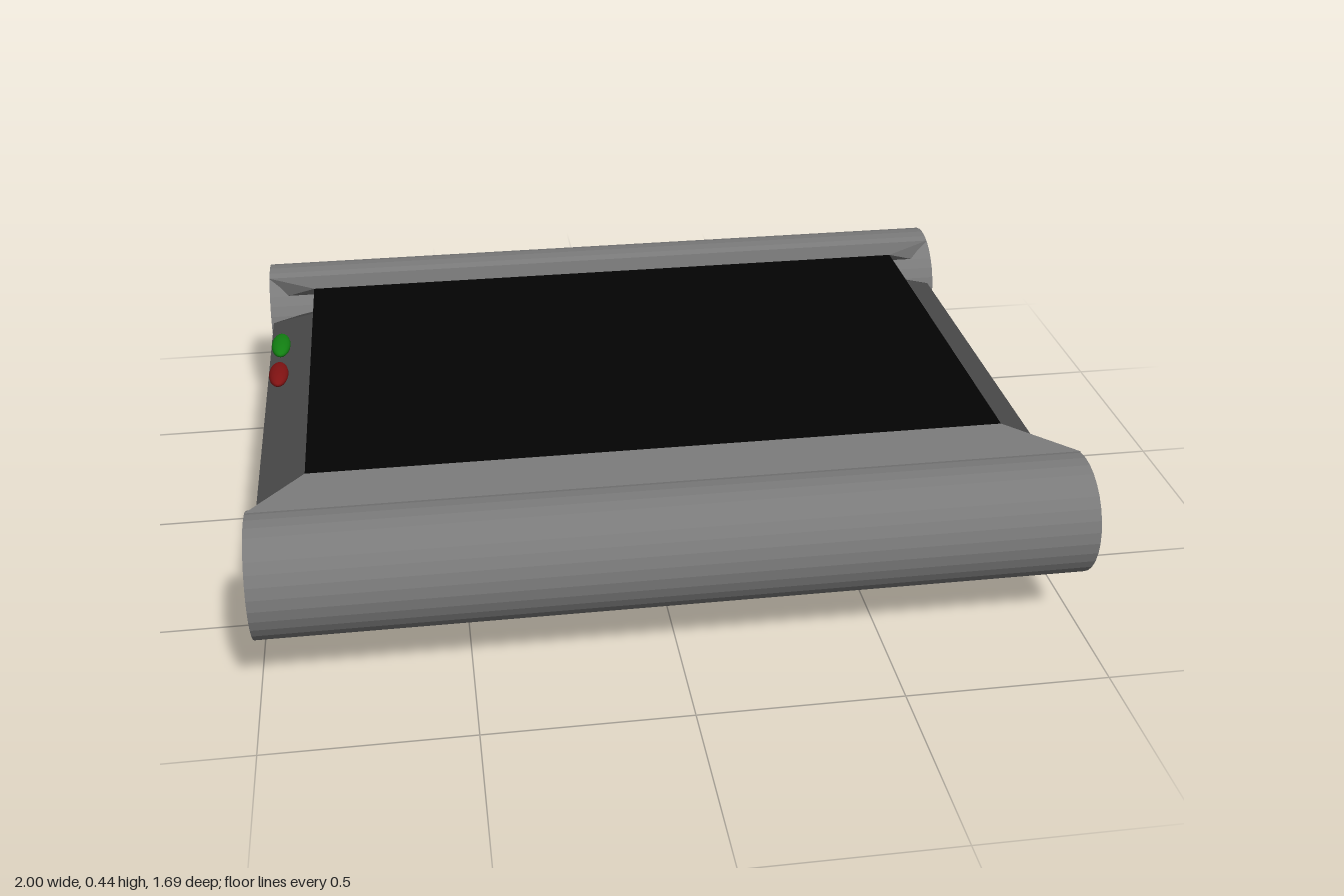
import * as THREE from 'three';
import { ConvexGeometry } from 'three/addons/geometries/ConvexGeometry.js';

const X0 = -0.99, X1 = 0.97, Z0 = -0.585, Z1 = 0.6, TOP = 0.365; // body extents
const BX = 0.125, BY = 0.025, BZ = 0.075; // bevel per axis
const SCREEN_Y = 0.44, SCREEN_BACK = -0.514, SCREEN_FRONT = 0.522;

const material = (color) => new THREE.MeshStandardMaterial({ color, flatShading: true });

function addMesh(group, name, geometry, mat) {
  const mesh = new THREE.Mesh(geometry, mat);
  mesh.name = name;
  group.add(mesh);
  return mesh;
}

// Box with every edge bevelled: each corner gives one point per face
function bevelledBox() {
  const points = [];
  for (const [x, sx] of [[X0, 1], [X1, -1]])
    for (const [y, sy] of [[0, 1], [TOP, -1]])
      for (const [z, sz] of [[Z0, 1], [Z1, -1]]) {
        const xi = x + sx * BX, yi = y + sy * BY, zi = z + sz * BZ;
        points.push(
          new THREE.Vector3(x, yi, zi),
          new THREE.Vector3(xi, y, zi),
          new THREE.Vector3(xi, yi, z));
      }
  return new ConvexGeometry(points);
}

// Wedge lip with upright ends, from the roller to the screen's edge
function lip(zRoller, yTop, yLow, zScreen) {
  const points = [];
  for (const [xEnd, xTip] of [[-1, X0 + BX], [1, X1 - BX]])
    points.push(
      new THREE.Vector3(xEnd, yTop, zRoller),
      new THREE.Vector3(xEnd, yLow, zRoller),
      new THREE.Vector3(xTip, SCREEN_Y, zScreen));
  return new ConvexGeometry(points);
}

export function createModel() {
  const model = new THREE.Group();
  model.name = 'tablet';
  const bodyMat = material(0x484848);
  const rollerMat = material(0x7a7a7a);

  addMesh(model, 'body', bevelledBox(), bodyMat);

  // Black sheet stretched between the two lips, above the body
  const screenMat = material(0x030303);
  screenMat.side = THREE.DoubleSide;
  const screen = addMesh(model, 'screen',
    new THREE.PlaneGeometry(X1 - X0 - 2 * BX, SCREEN_FRONT - SCREEN_BACK).rotateX(-Math.PI / 2),
    screenMat);
  screen.position.set((X0 + X1) / 2, SCREEN_Y, (SCREEN_BACK + SCREEN_FRONT) / 2);

  // Long rollers along the front and back
  for (const [name, z] of [['frontRoller', 0.695], ['backRoller', -0.695]]) {
    const roller = addMesh(model, name,
      new THREE.CylinderGeometry(0.15, 0.15, 2, 32).rotateZ(Math.PI / 2), rollerMat);
    roller.position.set(0, 0.28, z);
  }
  addMesh(model, 'frontLip', lip(0.66, 0.428, 0.385, SCREEN_FRONT), rollerMat);
  addMesh(model, 'backLip', lip(-0.642, 0.422, 0.351, SCREEN_BACK), rollerMat);

  // Two oval buttons on the right edge
  for (const [name, color, z] of [['greenButton', 0x128012, -0.325], ['redButton', 0x801212, -0.15]]) {
    const button = addMesh(model, name, new THREE.SphereGeometry(1, 20, 12),
      new THREE.MeshStandardMaterial({ color }));
    button.scale.set(0.026, 0.017, 0.066);
    button.position.set(-0.96, 0.359, z);
  }
  return model;
}
